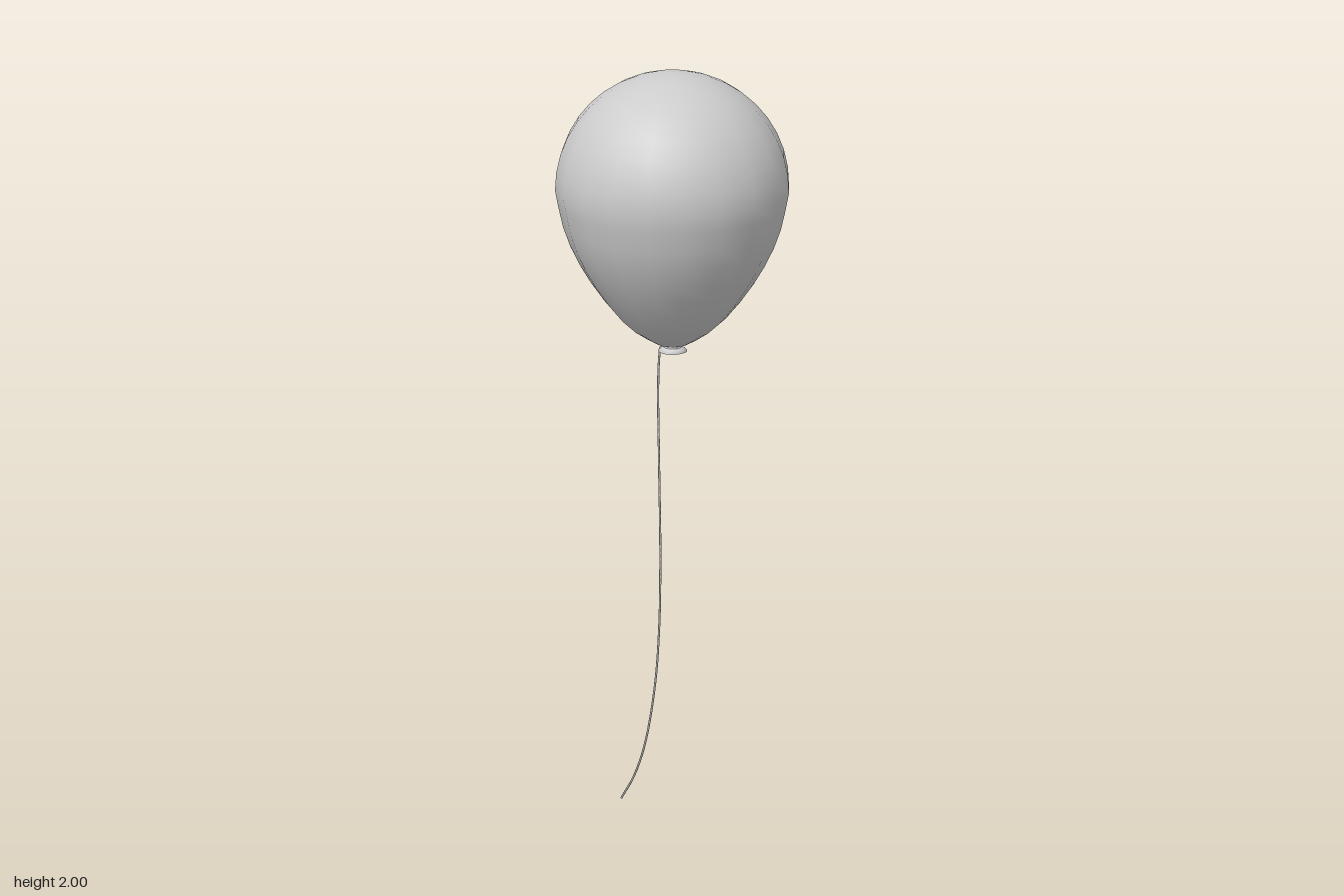
import * as THREE from 'three';

const SIDES = 20;
const material = new THREE.MeshStandardMaterial({ color: 0xcccccc });
const openMaterial = new THREE.MeshStandardMaterial({ color: 0xcccccc, side: THREE.DoubleSide });

function addMesh(group, name, geometry, mat = material) {
  const mesh = new THREE.Mesh(geometry, mat);
  mesh.name = name;
  group.add(mesh);
  return mesh;
}

const toVectors = (points) => points.map(([r, y]) => new THREE.Vector2(r, y));

export function createModel() {
  const group = new THREE.Group();
  group.name = 'balloonOnString';

  // Envelope: tapering underside, then a rounded dome
  const underside = new THREE.SplineCurve(toVectors([
    [0.012, 1.322], [0.05, 1.337], [0.125, 1.393], [0.205, 1.5],
    [0.258, 1.61], [0.282, 1.72],
  ])).getPoints(12);
  const dome = [];
  for (let i = 1; i <= 10; i++) {
    const a = (i / 10) * Math.PI / 2;
    dome.push(new THREE.Vector2(i === 10 ? 0 : 0.282 * Math.cos(a), 1.72 + 0.28 * Math.sin(a)));
  }
  addMesh(group, 'envelope', new THREE.LatheGeometry([...underside, ...dome], SIDES));

  // Flared mouth below the pinched neck
  addMesh(group, 'mouth', new THREE.LatheGeometry(toVectors([
    [0.012, 1.318], [0.03, 1.309], [0.036, 1.311], [0.028, 1.318], [0.016, 1.326], [0.016, 1.335],
  ]), SIDES), openMaterial);

  // Thread wound round the neck
  const knot = addMesh(group, 'knot', new THREE.TorusGeometry(0.02, 0.003, 6, SIDES));
  knot.rotation.x = Math.PI / 2;
  knot.position.y = 1.322;

  // String bending off the neck, hanging down and trailing backwards
  const path = new THREE.CatmullRomCurve3([
    [1.322, -0.018], [1.321, -0.032], [1.311, -0.043], [1.28, -0.049], [1.2, -0.053], [1, -0.05],
    [0.75, -0.046], [0.55, -0.051], [0.38, -0.068], [0.2, -0.107], [0.09, -0.15], [0.001, -0.203],
  ].map(([y, z]) => new THREE.Vector3(0, y, z)));
  addMesh(group, 'string', new THREE.TubeGeometry(path, 80, 0.0028, 6), openMaterial);

  return group;
}
